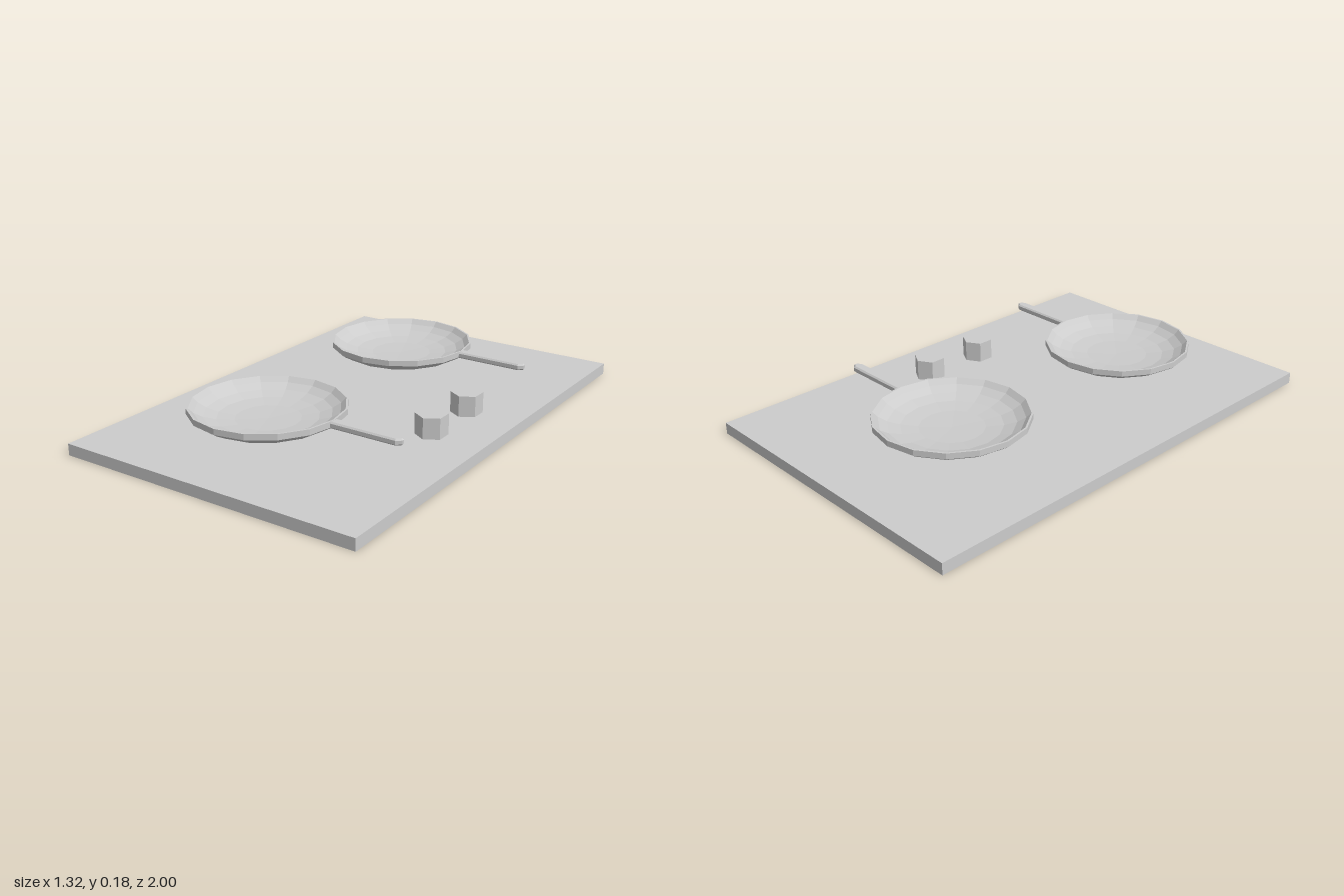
import * as THREE from 'three';

const grey = new THREE.MeshStandardMaterial({ color: 0xcccccc, flatShading: true });
grey.name = 'plain grey';

function add(parent, name, geometry, x, y, z) {
  const mesh = new THREE.Mesh(geometry, grey);
  mesh.name = name;
  mesh.position.set(x, y, z);
  parent.add(mesh);
  return mesh;
}

// Shallow dish: outside from the underside up to the rim, then down the inside
const dishProfile = [
  [0, 0.105], [0.19, 0.105], [0.257, 0.121], [0.297, 0.143], [0.312, 0.154],
  [0.312, 0.178], [0.304, 0.178], [0.284, 0.158], [0.25, 0.139], [0.2, 0.125],
  [0.13, 0.117], [0, 0.114],
].map(([r, y]) => new THREE.Vector2(r, y));

// Flat bar with a bevelled far end
function handleGeometry() {
  const w = 0.022, end = 0.52, cut = 0.016, bevel = 0.006;
  const s = w - bevel;
  const shape = new THREE.Shape([
    [0.285, -s], [end - cut - bevel, -s], [end - bevel, -s + cut * 0.8],
    [end - bevel, s - cut * 0.8], [end - cut - bevel, s], [0.285, s],
  ].map(([x, y]) => new THREE.Vector2(x - 0, y)));
  return new THREE.ExtrudeGeometry(shape, {
    depth: 0.027 - 2 * bevel, bevelSize: bevel, bevelThickness: bevel, bevelSegments: 1,
  }).rotateX(-Math.PI / 2).translate(0, 0.150 + bevel, 0);
}

function makePan(z) {
  const pan = new THREE.Group();
  pan.name = 'pan';
  add(pan, 'dish', new THREE.LatheGeometry(dishProfile, 16), -0.09, 0, z);
  // The bar starts just inside the dish wall
  const bar = handleGeometry();
  const p = bar.attributes.position;
  for (let i = 0; i < p.count; i++) if (p.getX(i) < 0.3) p.setX(i, 0.215);
  add(pan, 'handle', bar, 0, 0, z);
  return pan;
}

export function createModel() {
  const model = new THREE.Group();
  model.name = 'cooktop';
  add(model, 'base', new THREE.BoxGeometry(1.32, 0.048, 2), 0, 0.024, 0);
  for (const z of [-0.455, 0.5]) model.add(makePan(z));
  // Six-sided control knobs
  for (const z of [-0.132, 0.145]) {
    add(model, 'knob', new THREE.CylinderGeometry(0.066, 0.066, 0.091, 6), 0.427, 0.0895, z);
  }
  return model;
}
